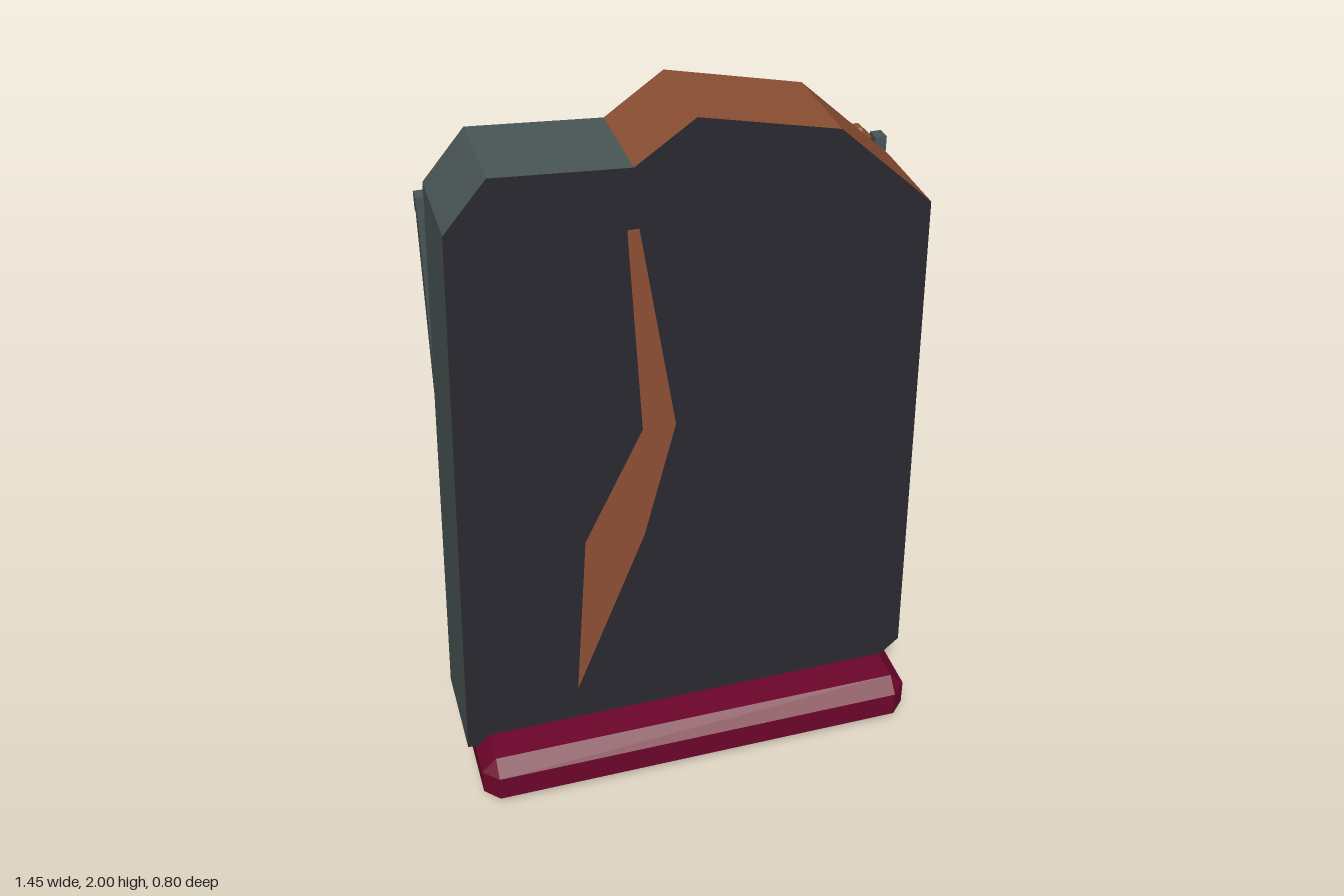
import * as THREE from 'three';
import { ConvexGeometry } from 'three/addons/geometries/ConvexGeometry.js';

const mat = (name, color) => {
  const m = new THREE.MeshStandardMaterial({ color });
  m.name = name;
  return m;
};

export function createModel() {
  const dark = mat('dark stone', 0x292930);
  const slate = mat('slate', 0x4a5656);
  const rust = mat('rust brown', 0x8e5034);
  const wine = mat('burgundy', 0x6d052a);
  const cream = mat('cream', 0xd6ceb3);

  const group = new THREE.Group();
  const add = (name, geometry, material, x = 0, y = 0, z = 0) => {
    const mesh = new THREE.Mesh(geometry, material);
    mesh.name = name;
    mesh.position.set(x, y, z);
    group.add(mesh);
    return mesh;
  };
  const shapeOf = (pts) => new THREE.Shape(pts.map((p) => new THREE.Vector2(...p)));
  const box = (w, h, d) => new THREE.BoxGeometry(w, h, d);
  const hull = (pts) => new ConvexGeometry(pts.map((p) => new THREE.Vector3(...p)));

  // Base: box with every edge chamfered
  const half = [0.641, 0.08, 0.279], c = 0.042;
  const corners = [];
  for (const sx of [-1, 1]) for (const sy of [-1, 1]) for (const sz of [-1, 1]) {
    const s = [sx, sy, sz];
    for (let full = 0; full < 3; full++) {
      corners.push(s.map((v, i) => v * (half[i] - (i === full ? 0 : c))));
    }
  }
  add('base', hull(corners), wine, -0.061, 0.08, 0.119);

  // Slab outline, clockwise from the lower left corner
  const outline = [[-0.724, 0.13], [-0.662, 1.78], [-0.55, 1.913], [-0.2, 1.892], [-0.045, 2],
    [0.32, 1.922], [0.572, 1.69], [0.598, 0.208], [0.5, 0.12], [-0.68, 0.12]];
  const zFront = 0.259, zBack = -0.032;
  add('slabFront', new THREE.ShapeGeometry(shapeOf(outline)), dark, 0, 0, zFront);
  const back = new THREE.ShapeGeometry(shapeOf(outline.map(([x, y]) => [-x, y])));
  add('slabBack', back.rotateY(Math.PI), dark, 0, 0, zBack);

  // Slab rim: slate on one half, rust on the other
  const rim = (name, first, last, material) => {
    const pos = [];
    for (let i = first; i < last; i++) {
      const [px, py] = outline[i], [qx, qy] = outline[(i + 1) % outline.length];
      const a = [px, py, zBack], b = [px, py, zFront], d = [qx, qy, zFront], e = [qx, qy, zBack];
      pos.push(...a, ...b, ...d, ...a, ...d, ...e);
    }
    const g = new THREE.BufferGeometry();
    g.setAttribute('position', new THREE.Float32BufferAttribute(pos, 3));
    g.computeVertexNormals();
    add(name, g, material);
  };
  rim('slateRim', 0, 3, slate);
  rim('rustRim', 3, 7, rust);
  rim('bottomRim', 7, 10, slate);

  // Jagged crack on the front
  const crack = shapeOf([[-0.22, 1.73], [-0.19, 1.14], [-0.355, 0.8], [-0.395, 0.27],
    [-0.19, 0.79], [-0.1, 1.14], [-0.19, 1.73]]);
  add('crack', new THREE.ShapeGeometry(crack), rust, 0, 0, zFront + 0.002);

  // Back frame with cut corners and bevelled edges
  const b = 0.01, k = 0.022;
  const x0 = -0.644 + b, x1 = 0.527 - b, y0 = 0.21 + b, y1 = 1.768 - b;
  const frame = shapeOf([[x0 + k, y0], [x1 - k, y0], [x1, y0 + k], [x1, y1 - k],
    [x1 - k, y1], [x0 + k, y1], [x0, y1 - k], [x0, y0 + k]]);
  frame.holes.push(shapeOf([[-0.567, 0.29], [0.452, 0.29], [0.452, 1.685], [-0.567, 1.685]]));
  add('backFrame', new THREE.ExtrudeGeometry(frame, {
    depth: 0.03, bevelEnabled: true, bevelThickness: b, bevelSize: b, bevelSegments: 1,
  }), rust, 0, 0, -0.073);

  // Thin cream panel standing off the slab, with finely toothed ends
  const teeth = 42, left = -0.548, width = 0.978, lower = [], upper = [];
  for (let i = 0; i <= teeth * 2; i++) {
    const x = left + (width * i) / (teeth * 2), t = (i % 2) * 0.014;
    lower.push([x, 0.352 + t]);
    upper.unshift([x, 1.63 - t]);
  }
  add('backPanel', new THREE.ExtrudeGeometry(shapeOf([...lower, ...upper]), {
    depth: 0.005, bevelEnabled: false,
  }), cream, 0, 0, -0.078);

  // Side rails and corner bolts
  for (const [railX, boltX] of [[-0.668, -0.597], [0.547, 0.475]]) {
    add('sideRail', box(0.028, 1.45, 0.036), slate, railX, 1.018, -0.047);
    add('railCap', box(0.032, 0.05, 0.04), slate, railX, 1.718, -0.044);
    for (const y of [0.265, 1.71]) {
      const bolt = new THREE.CylinderGeometry(0.026, 0.026, 0.017, 8).rotateX(Math.PI / 2);
      add('bolt', bolt, slate, boltX, y, -0.095);
    }
  }

  // Small chevron of two rounded strokes above the frame
  const strokes = [[0.02, 1.89, -0.06, 1.818], [-0.06, 1.818, -0.143, 1.89]];
  for (const [ax, ay, bx, by] of strokes) {
    const stroke = new THREE.CapsuleGeometry(0.012, Math.hypot(bx - ax, by - ay), 3, 8);
    const mesh = add('chevronStroke', stroke, wine, (ax + bx) / 2, (ay + by) / 2, -0.054);
    mesh.rotation.z = Math.atan2(by - ay, bx - ax) - Math.PI / 2;
  }

  // Broken shard lying at the back corner
  add('shard', hull([[0.5, 0.175, -0.145], [0.573, 0.125, -0.3], [0.62, 0, -0.4],
    [0.43, 0, -0.31], [0.45, 0, -0.16], [0.58, 0, -0.11], [0.722, 0, -0.13]]), rust);

  return group;
}
